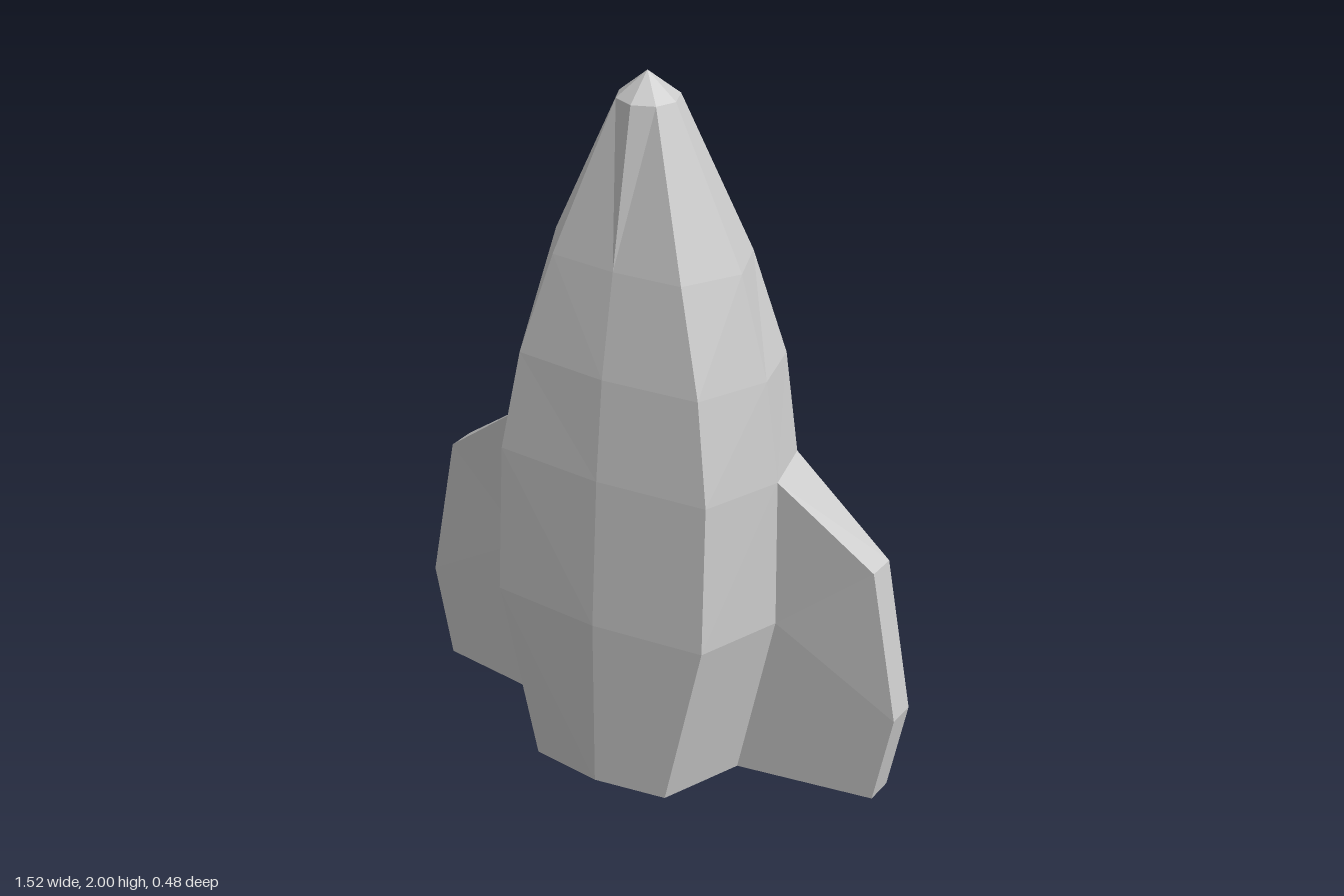
import * as THREE from 'three';

// Half cross-sections of the hull from base to nose.
// Each: height, then [x, z] of front ridge, front corner, side edge, back corner, back ridge.
const SIDE_Z = -0.035;
const sections = [
  [0.0, [0, 0.235], [0.21, 0.205], [0.3, SIDE_Z], [0.26, -0.22], [0, -0.24]],
  [0.505, [0, 0.24], [0.325, 0.21], [0.41, SIDE_Z], [0.36, -0.22], [0, -0.24]],
  [0.935, [0, 0.215], [0.32, 0.19], [0.405, SIDE_Z], [0.36, -0.22], [0, -0.24]],
  [1.22, [0, 0.185], [0.275, 0.16], [0.365, SIDE_Z], [0.32, -0.218], [0, -0.24]],
  [1.505, [0, 0.13], [0.195, 0.115], [0.285, SIDE_Z], [0.23, -0.188], [0, -0.24]],
  [1.93, [0, 0.045], [0.06, 0.02], [0.085, SIDE_Z], [0.06, -0.1], [0, -0.118]],
].map(([y, ...ring]) => ring.map(([x, z]) => [x, y, z]));
const nose = [0, 2, SIDE_Z];

// Wing tip edge from bottom to top: [x, y]
const tips = [[0.705, 0.02], [0.76, 0.29], [0.68, 0.725]];
const tipFront = tips.map(([x, y]) => [x, y, -0.072]);
const tipBack = tips.map(([x, y]) => [x, y, -0.158]);
const SIDE = 2, BACK = 3, ROOT_TOP = 2;

// Collects faces for one side; side = -1 mirrors them with the winding reversed
function faceBuilder(side, positions) {
  const put = ([x, y, z]) => positions.push(x * side, y, z);
  const tri = (a, b, c) => (side > 0 ? [a, b, c] : [a, c, b]).forEach(put);
  const quad = (a, b, c, d) => { tri(a, b, c); tri(a, c, d); }; // split along a-c
  return { tri, quad };
}

function facetedMesh(name, positions, material) {
  const geometry = new THREE.BufferGeometry();
  geometry.setAttribute('position', new THREE.Float32BufferAttribute(positions, 3));
  geometry.computeVertexNormals();
  const mesh = new THREE.Mesh(geometry, material);
  mesh.name = name;
  return mesh;
}

function addHullHalf({ tri, quad }) {
  for (let j = 0; j < sections.length - 1; j++) {
    const lo = sections[j], hi = sections[j + 1];
    for (let i = 0; i < 4; i++) {
      if (i === SIDE && j < ROOT_TOP) continue; // open where the wing joins
      if (i === BACK) quad(lo[i + 1], hi[i + 1], hi[i], lo[i]);
      else quad(lo[i], lo[i + 1], hi[i + 1], hi[i]);
    }
  }
  // Nose cap and flat base
  const top = sections[sections.length - 1], base = sections[0];
  for (let i = 0; i < 4; i++) {
    tri(top[i], top[i + 1], nose);
    tri(base[i + 1], base[i], [0, 0, SIDE_Z]);
  }
}

function addWing({ quad }) {
  const front = sections.slice(0, 3).map((s) => s[SIDE]);
  const back = sections.slice(0, 3).map((s) => s[BACK]);
  // Broad front and back faces
  quad(tipFront[0], tipFront[1], front[1], front[0]);
  quad(front[1], tipFront[1], tipFront[2], front[2]);
  quad(tipBack[0], back[0], back[1], tipBack[1]);
  quad(back[1], back[2], tipBack[2], tipBack[1]);
  // Outer edge
  for (let j = 0; j < 2; j++) quad(tipFront[j], tipBack[j], tipBack[j + 1], tipFront[j + 1]);
  // Upper and lower edges
  quad(front[2], tipFront[2], tipBack[2], back[2]);
  quad(front[0], back[0], tipBack[0], tipFront[0]);
}

export function createModel() {
  const group = new THREE.Group();
  group.name = 'spacecraft';
  const material = new THREE.MeshStandardMaterial({ color: 0xcccccc, flatShading: true });

  const hull = [];
  for (const side of [1, -1]) {
    addHullHalf(faceBuilder(side, hull));
    const wing = [];
    addWing(faceBuilder(side, wing));
    group.add(facetedMesh(side > 0 ? 'leftWing' : 'rightWing', wing, material));
  }
  group.add(facetedMesh('hull', hull, material));
  return group;
}
